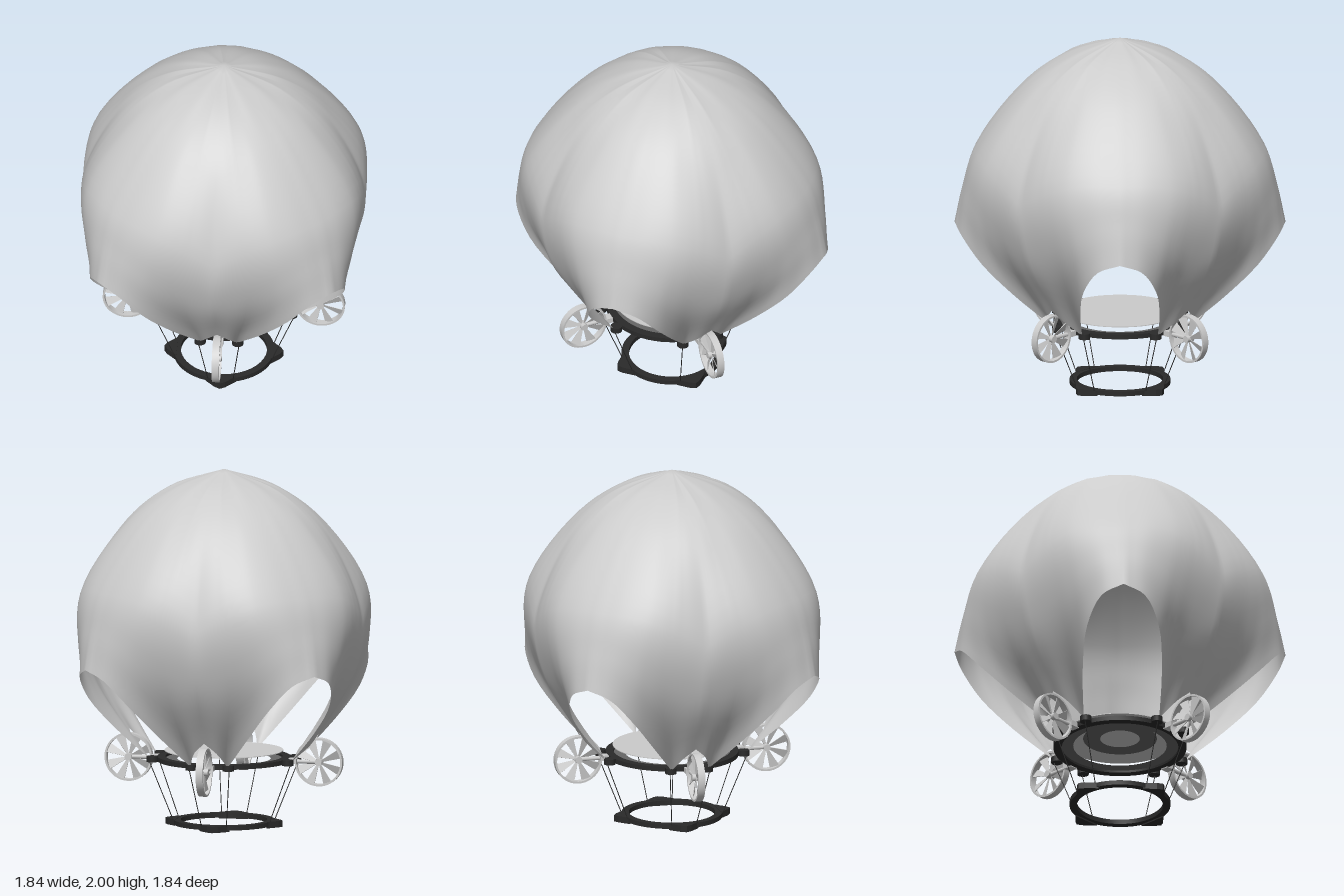
import * as THREE from 'three';
import { mergeVertices } from 'three/addons/utils/BufferGeometryUtils.js';

const grey = new THREE.MeshStandardMaterial({ color: 0xcccccc });
const cloth = new THREE.MeshStandardMaterial({ color: 0xcccccc, side: THREE.DoubleSide });
const black = new THREE.MeshStandardMaterial({ color: 0x2a2a2a });
const dark = new THREE.MeshStandardMaterial({ color: 0x666666, side: THREE.DoubleSide });

function add(parent, name, geometry, material, x = 0, y = 0, z = 0) {
  const mesh = new THREE.Mesh(geometry, material);
  mesh.name = name;
  mesh.position.set(x, y, z);
  parent.add(mesh);
  return mesh;
}

// Flat-sided ring around the y axis
function band(inner, outer, y0, y1, segments = 64) {
  const corners = [[inner, y0], [outer, y0], [outer, y1], [inner, y1], [inner, y0]];
  // each side is its own strip, so the edges stay sharp
  const pos = [], index = [];
  for (let s = 0; s < 4; s++) {
    const g = new THREE.LatheGeometry([corners[s], corners[s + 1]].map(c => new THREE.Vector2(...c)), segments);
    const base = pos.length / 3;
    pos.push(...g.attributes.position.array);
    index.push(...[...g.index.array].map(i => i + base));
  }
  const g = new THREE.BufferGeometry();
  g.setAttribute('position', new THREE.Float32BufferAttribute(pos, 3));
  g.setIndex(index);
  g.computeVertexNormals();
  return g;
}

// Thin rod between two points
function rod(parent, name, a, b, radius, material) {
  const p = new THREE.Vector3(...a), q = new THREE.Vector3(...b);
  const mesh = add(parent, name, new THREE.CylinderGeometry(radius, radius, p.distanceTo(q), 8), material);
  mesh.position.copy(p).lerp(q, 0.5);
  mesh.quaternion.setFromUnitVectors(new THREE.Vector3(0, 1, 0), q.sub(p).normalize());
}

// One eighth of the canopy, from the middle of an arch (first) to the diagonal (last)
const rows = [
  Array.from({ length: 7 }, () => [0, 2, 0]),
  [[0, 1.91, .27], [.07, 1.908, .27], [.12, 1.9, .265], [.16, 1.895, .26], [.19, 1.89, .26], [.22, 1.88, .255], [.25, 1.87, .25]],
  [[0, 1.735, .53], [.11, 1.732, .52], [.2, 1.72, .505], [.26, 1.705, .485], [.32, 1.685, .465], [.37, 1.665, .445], [.42, 1.64, .42]],
  [[0, 1.36, .81], [.15, 1.36, .795], [.28, 1.34, .76], [.36, 1.31, .72], [.43, 1.275, .67], [.495, 1.23, .615], [.555, 1.18, .555]],
  [[0, 1.15, .875], [.13, 1.12, .86], [.24, 1.05, .81], [.3, .96, .74], [.36, .88, .65], [.44, .86, .58], [.52, .86, .52]],
  // lower hem: arch edge down to the foot, then up into the small notch
  [[0, .94, .92], [.12, .89, .88], [.2, .75, .77], [.22, .57, .585], [.21, .38, .36], [.31, .47, .4], [.38, .53, .38]],
].map(row => row.map(p => new THREE.Vector3(...p)));

function canopyGeometry() {
  const nu = 24, nv = 30, split = 16;
  // the hem turns a corner at the foot, so each row is two curves
  const across = rows.map(r => [new THREE.CatmullRomCurve3(r.slice(0, 5)), new THREE.CatmullRomCurve3(r.slice(4))]);
  const grid = [];
  for (let i = 0; i <= nu; i++) {
    const first = i <= split;
    const t = first ? i / split : (i - split) / (nu - split);
    const points = across.map(c => c[first ? 0 : 1].getPoint(t));
    grid.push(new THREE.CatmullRomCurve3(points).getPoints(nv));
  }
  const pos = [], index = [];
  for (let k = 0; k < 8; k++) {
    const flip = k % 2 === 1, turn = Math.floor(k / 2) * Math.PI / 2;
    const base = pos.length / 3;
    for (const line of grid) for (const p of line) {
      const q = flip ? new THREE.Vector3(-p.x, p.y, p.z) : p.clone();
      q.applyAxisAngle(new THREE.Vector3(0, 1, 0), turn);
      pos.push(q.x, q.y, q.z);
    }
    for (let i = 0; i < nu; i++) for (let j = 0; j < nv; j++) {
      const a = base + i * (nv + 1) + j, b = a + nv + 1;
      if (flip) index.push(a, b, a + 1, b, b + 1, a + 1);
      else index.push(a, a + 1, b, b, a + 1, b + 1);
    }
  }
  const g = new THREE.BufferGeometry();
  g.setAttribute('position', new THREE.Float32BufferAttribute(pos, 3));
  g.setIndex(index);
  const merged = mergeVertices(g, 1e-4);
  merged.computeVertexNormals();
  return merged;
}

// Shrouded fan, axis along z
function makeFan() {
  const fan = new THREE.Group();
  fan.name = 'fan';
  add(fan, 'fanRim', band(0.124, 0.135, -0.02, 0.02, 40), grey).rotation.x = Math.PI / 2;
  add(fan, 'fanHub', new THREE.CylinderGeometry(0.02, 0.02, 0.05, 16), grey).rotation.x = Math.PI / 2;
  const outline = new THREE.Shape([[0.015, -0.006], [0.125, -0.028], [0.125, 0.028], [0.015, 0.006]]
    .map(p => new THREE.Vector2(...p)));
  const bladeShape = new THREE.ExtrudeGeometry(outline, { depth: 0.003, bevelEnabled: false });
  for (let i = 0; i < 8; i++) {
    const spoke = new THREE.Group();
    spoke.name = 'fanBlade';
    spoke.rotation.z = i * Math.PI / 4 + Math.PI / 8;
    add(spoke, 'blade', bladeShape, grey).rotation.x = 0.4;
    fan.add(spoke);
  }
  return fan;
}

export function createModel() {
  const model = new THREE.Group();
  model.name = 'airship';
  add(model, 'canopy', canopyGeometry(), cloth);

  // Deck with its round steps
  add(model, 'upperRing', band(0.325, 0.37, 0.362, 0.388), black);
  add(model, 'lowerDeck', new THREE.RingGeometry(0.26, 0.33, 64), dark, 0, 0.375).rotation.x = Math.PI / 2;
  add(model, 'upperDeck', new THREE.CylinderGeometry(0.33, 0.33, 0.004, 64), grey, 0, 0.422);
  add(model, 'deckInlay', new THREE.RingGeometry(0.11, 0.205, 64), dark, 0, 0.418).rotation.x = Math.PI / 2;

  // Landing ring
  add(model, 'landingRing', band(0.24, 0.28, 0.008, 0.034), black);
  const lugShape = new THREE.Shape([[0.26, -0.085], [0.315, -0.03], [0.332, 0], [0.315, 0.03], [0.26, 0.085]]
    .map(p => new THREE.Vector2(...p)));
  const lugGeometry = new THREE.ExtrudeGeometry(lugShape, { depth: 0.036, bevelEnabled: false });
  lugGeometry.rotateX(-Math.PI / 2);

  // Fan arm, lugs and cables at each corner
  for (let k = 0; k < 4; k++) {
    const corner = new THREE.Group();
    corner.name = 'corner';
    corner.rotation.y = Math.PI / 4 + k * Math.PI / 2;
    model.add(corner);
    add(corner, 'landingLug', lugGeometry, black);
    rod(corner, 'fanArm', [0.36, 0.37, 0], [0.54, 0.37, 0], 0.012, grey);
    add(corner, 'armBracket', new THREE.BoxGeometry(0.06, 0.03, 0.05), grey, 0.385, 0.372, 0);
    const fan = makeFan();
    fan.position.set(0.54, 0.37, 0);
    corner.add(fan);
    for (const s of [-1, 1]) {
      add(corner, 'canopyLug', new THREE.CylinderGeometry(0.032, 0.032, 0.032, 16), black, 0.385, 0.375, s * 0.105);
      rod(corner, 'cable', [0.273, 0.03, s * 0.071], [0.405, 0.375, s * 0.115], 0.0025, black);
    }
  }
  return model;
}
